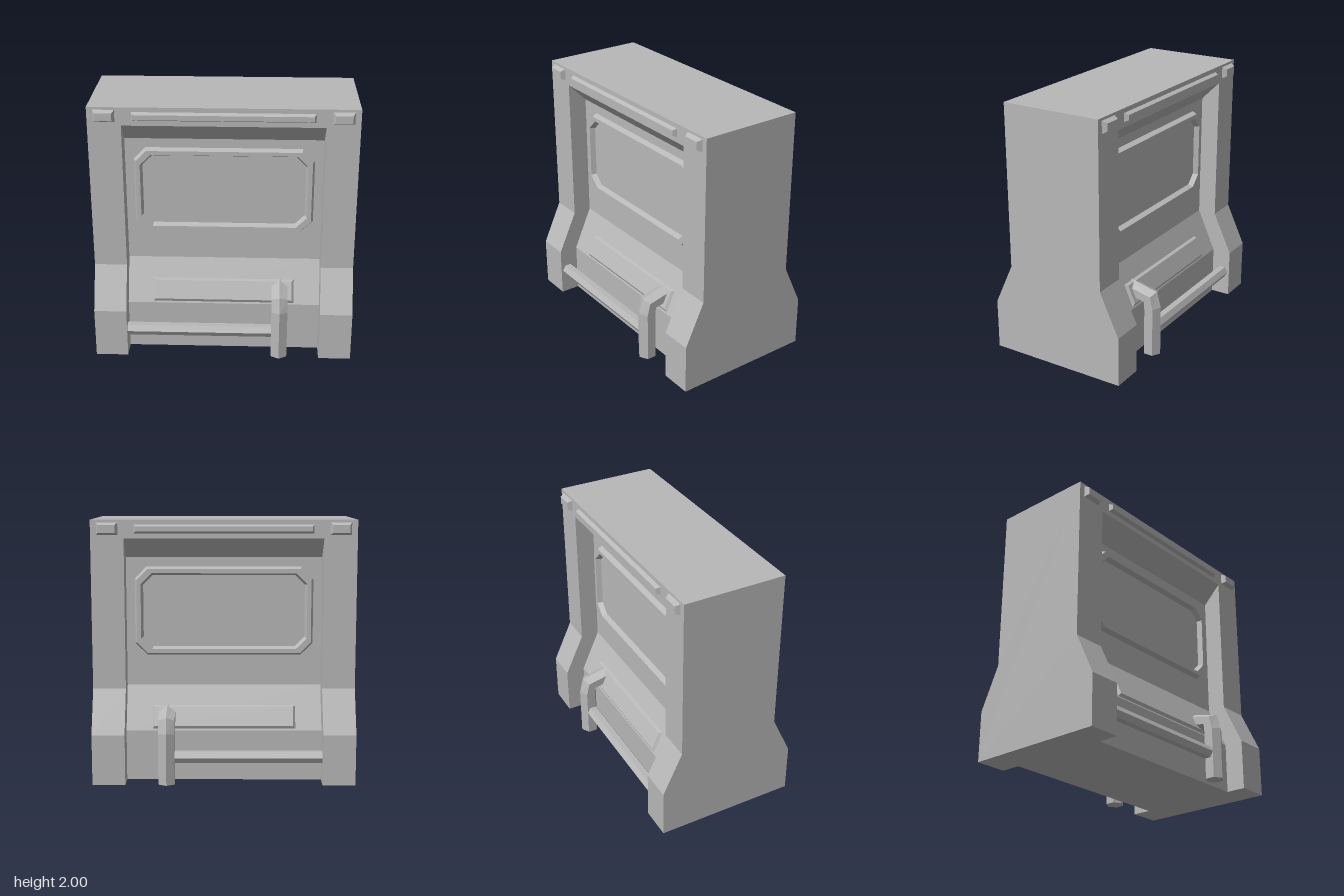
import * as THREE from 'three';

// Flat-faced skin over equal-length rings, counter-clockwise about the travel direction.
function loft(rings, capped = true) {
  const pos = [];
  const tri = (a, b, c) => pos.push(...a, ...b, ...c);
  const n = rings[0].length;
  for (let i = 0; i < rings.length - 1; i++) {
    for (let j = 0; j < n; j++) {
      const k = (j + 1) % n;
      const a = rings[i][j], b = rings[i][k], c = rings[i + 1][k], d = rings[i + 1][j];
      tri(a, b, c);
      tri(a, c, d);
    }
  }
  if (capped) {
    const first = rings[0], last = rings[rings.length - 1];
    for (let j = 1; j < n - 1; j++) {
      tri(last[0], last[j], last[j + 1]);
      tri(first[0], first[j + 1], first[j]);
    }
  }
  const g = new THREE.BufferGeometry();
  g.setAttribute('position', new THREE.Float32BufferAttribute(pos, 3));
  g.computeVertexNormals();
  return g;
}

// Rectangle ring and chamfered-rectangle ring in the xy plane.
const rect = (w, h, z) => [[-w, -h, z], [w, -h, z], [w, h, z], [-w, h, z]];
const octagon = (w, h, c, z) => [
  [w, -h + c, z], [w, h - c, z], [w - c, h, z], [-w + c, h, z],
  [-w, h - c, z], [-w, -h + c, z], [-w + c, -h, z], [w - c, -h, z],
];

// Raised plate with sloping edges, given half sizes.
const bevelPlate = (w, h, depth, bevel) =>
  loft([rect(w, h, 0), rect(w - bevel, h - bevel, depth)]);

// Slab with a front/back symmetric [z, y] profile, extruded across x.
function slab(half, width) {
  const mirrored = half.map(([z, y]) => [-z, y]).reverse();
  const shape = new THREE.Shape([...half, ...mirrored].map(([z, y]) => new THREE.Vector2(z, y)));
  const g = new THREE.ExtrudeGeometry(shape, { depth: width, bevelEnabled: false });
  return g.translate(0, 0, -width / 2).rotateY(Math.PI / 2);
}

export function createModel() {
  const model = new THREE.Group();
  model.name = 'wallSegment';
  const grey = new THREE.MeshStandardMaterial({ color: 0xb8b8b8 });
  grey.name = 'concrete grey';

  const add = (parent, name, geometry, x = 0, y = 0, z = 0) => {
    const mesh = new THREE.Mesh(geometry, grey);
    mesh.name = name;
    mesh.position.set(x, y, z);
    parent.add(mesh);
    return mesh;
  };

  // Recessed middle with an overhanging header, and flared end pillars
  add(model, 'middleWall', slab(
    [[0.4, 0], [0.4, 0.39], [0.25, 0.72], [0.25, 1.71], [0.4, 1.86], [0.4, 2]], 1.5));
  for (const s of [-1, 1]) {
    add(model, s > 0 ? 'leftPillar' : 'rightPillar',
      slab([[0.555, 0], [0.555, 0.39], [0.4, 0.72], [0.4, 2]], 0.25), s * 0.875);
  }

  // Details on both faces; the pipe and rail keep the same x on each
  for (const s of [1, -1]) {
    const face = new THREE.Group();
    face.name = s > 0 ? 'frontDetails' : 'backDetails';
    face.rotation.y = s > 0 ? 0 : Math.PI;
    model.add(face);

    // Header strip and corner blocks
    add(face, 'headerStrip', bevelPlate(0.675, 0.033, 0.03, 0.014), 0, 1.932, 0.4);
    for (const e of [-1, 1]) {
      add(face, 'cornerBlock', bevelPlate(0.08, 0.046, 0.036, 0.017), e * 0.875, 1.934, 0.4);
    }

    // Chamfered panel frame: outer bevel, crest, inner bevel
    const ring = (inset, z) =>
      octagon(0.685 - inset, 0.341 - inset, 0.092 - inset * 0.586 + (inset > 0.04 ? 0.02 : 0), z);
    add(face, 'panelFrame', loft(
      [ring(0, 0), ring(0.017, 0.04), ring(0.048, 0.04), ring(0.065, 0)], false), 0, 1.298, 0.25);

    // Plate lying on the sloped skirt
    const plate = add(face, 'skirtPlate', bevelPlate(0.55, 0.092, 0.02, 0.018), 0, 0.486, 0.356);
    plate.rotation.x = -Math.atan2(0.15, 0.33);

    // Hexagonal rail from the pillar to the pipe
    const rail = new THREE.CylinderGeometry(0.05, 0.05, 1.1875, 6).toNonIndexed();
    rail.computeVertexNormals();
    rail.rotateZ(Math.PI / 2);
    add(face, 'rail', rail, -s * 0.15625, 0.205, 0.49);

    // Hexagonal pipe bending into the skirt: [outer z, y, inner z, y] stations
    const stations = [
      [0.575, 0, 0.431, 0], [0.575, 0.4, 0.431, 0.375],
      [0.54, 0.52, 0.435, 0.42], [0.3, 0.58, 0.3, 0.436],
    ];
    const rings = stations.map(([oz, oy, iz, iy]) =>
      Array.from({ length: 6 }, (_, i) => {
        const a = (i * Math.PI) / 3, t = (1 - Math.cos(a)) / 2;
        return [0.0722 * Math.sin(a), oy + (iy - oy) * t, oz + (iz - oz) * t];
      }));
    add(face, 'bentPipe', loft(rings), s * 0.4375);
  }
  return model;
}
